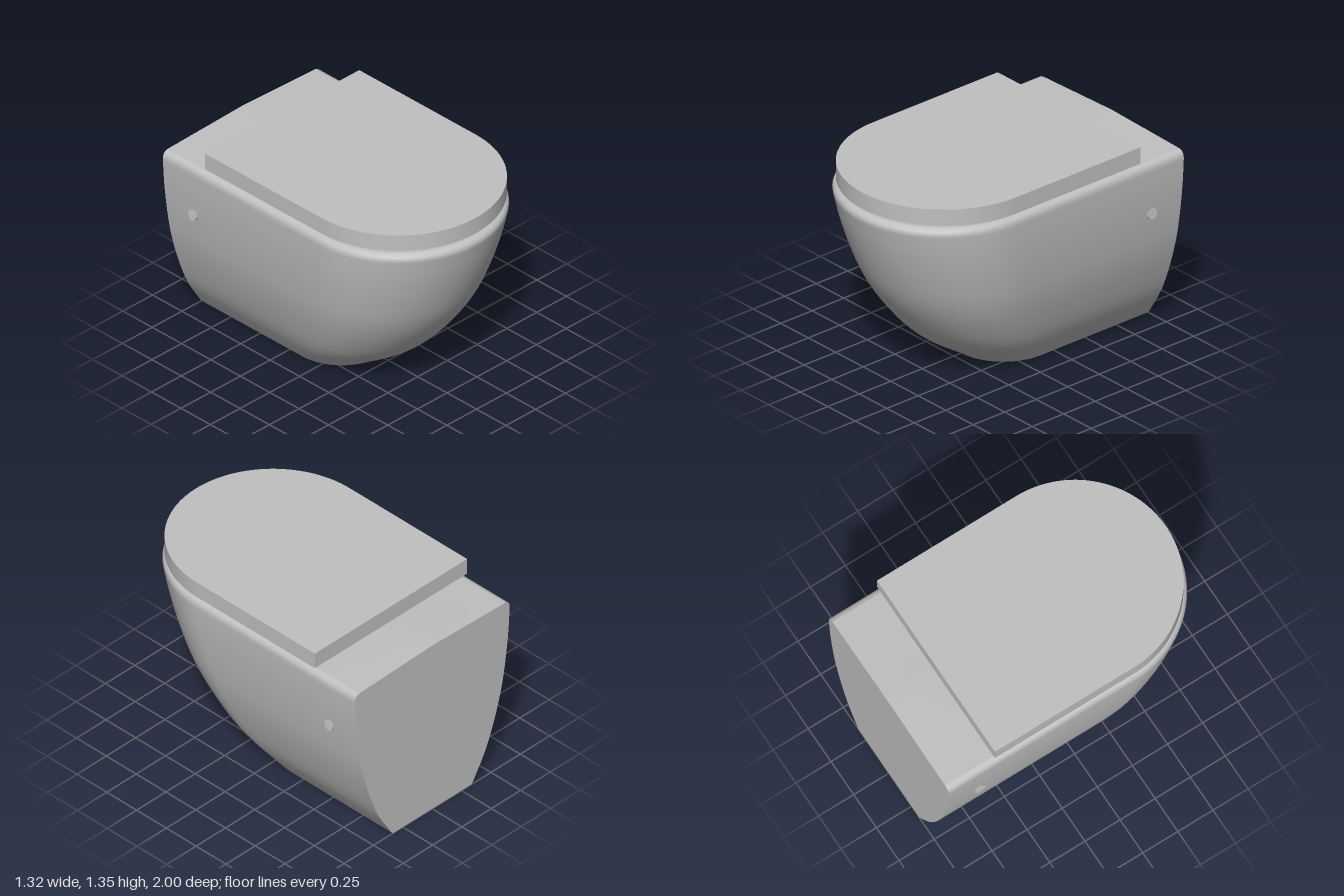
import * as THREE from 'three';
import { toCreasedNormals } from 'three/addons/utils/BufferGeometryUtils.js';

const ceramic = new THREE.MeshStandardMaterial({ color: 0xc0c0c0 });
ceramic.name = 'grey ceramic';

// Surface from a rule f(i, j) -> [x, y, z]; it faces along (i direction) x (j direction)
function grid(nu, nv, f) {
  const pos = [], idx = [];
  for (let j = 0; j <= nv; j++) for (let i = 0; i <= nu; i++) pos.push(...f(i, j));
  const at = (i, j) => j * (nu + 1) + i;
  for (let j = 0; j < nv; j++) for (let i = 0; i < nu; i++) {
    idx.push(at(i, j), at(i + 1, j), at(i, j + 1));
    idx.push(at(i + 1, j), at(i + 1, j + 1), at(i, j + 1));
  }
  const g = new THREE.BufferGeometry();
  g.setAttribute('position', new THREE.Float32BufferAttribute(pos, 3));
  g.setIndex(idx);
  g.computeVertexNormals();
  return g;
}

// Half of a U-shaped outline: straight side from the back, then a quarter circle
const STRAIGHT = 12, ARC = 24, HALF = STRAIGHT + ARC;
const BACK = -1;
function halfOutline(k, w, z0) {
  if (k <= STRAIGHT) return [w, BACK + (z0 - BACK) * k / STRAIGHT];
  const a = (k - STRAIGHT) / ARC * Math.PI / 2;
  return [w * Math.cos(a), z0 + w * Math.sin(a)];
}

export function createModel() {
  const group = new THREE.Group();
  const add = (name, geometry) => {
    const mesh = new THREE.Mesh(geometry, ceramic);
    mesh.name = name;
    group.add(mesh);
    return mesh;
  };

  // Levels of the bowl: half width, height, centre of the front arc
  const flank = new THREE.CatmullRomCurve3([
    [0.345, 0.012, -0.14], [0.457, 0.2, 0.022], [0.535, 0.4, 0.125], [0.592, 0.6, 0.2],
    [0.627, 0.8, 0.255], [0.65, 1.0, 0.302], [0.66, 1.16, 0.335],
  ].map(p => new THREE.Vector3(...p)));
  const levels = [
    [0.335, 0, -0.145],
    ...flank.getPoints(30).map(p => p.toArray()),
    [0.659, 1.18, 0.34], [0.652, 1.198, 0.34], [0.64, 1.209, 0.34], [0.62, 1.215, 0.34],
  ];
  const base = levels[0], rim = levels[levels.length - 1];

  // Curved outer shell
  add('bowlShell', grid(levels.length - 1, HALF * 2, (i, j) => {
    const [w, y, z0] = levels[i];
    const [x, z] = halfOutline(j <= HALF ? j : 2 * HALF - j, w, z0);
    return [j <= HALF ? x : -x, y, z];
  }));

  // Flat underside
  add('bowlBase', grid(2, HALF, (i, j) => {
    const [x, z] = halfOutline(j, base[0], base[2]);
    return [x * (i - 1), 0, z];
  }));

  // Top surface, rising to a shallow ridge towards the wall
  const RISE = 0.02;
  add('bowlTop', grid(16, HALF, (i, j) => {
    const [x, z] = halfOutline(j, rim[0], rim[2]);
    const t = 1 - i / 8;
    const slope = THREE.MathUtils.clamp((-0.35 - z) / 0.5, 0, 1);
    return [x * t, rim[1] + RISE * slope * (1 - Math.abs(t)), z];
  }));

  // Flat wall face
  const backLevels = [...levels, [0, rim[1] + RISE]];
  add('bowlBack', grid(backLevels.length - 1, 2, (i, j) =>
    [backLevels[i][0] * (j - 1), backLevels[i][1], BACK]));

  // Fixing caps on both flanks
  for (const side of [1, -1]) {
    const cap = add(side > 0 ? 'leftFixingCap' : 'rightFixingCap',
      new THREE.CylinderGeometry(0.035, 0.035, 0.03, 32));
    cap.position.set(side * 0.631, 0.862, -0.765);
    cap.rotation.z = -side * (Math.PI / 2 + 0.13) + side * 0.26;
  }

  // Seat lid: a flat slab with a round front
  const r = 0.649, lidArc = 0.33, lidBack = -0.66;
  const outline = new THREE.Shape();
  outline.moveTo(-r, -lidBack);
  outline.lineTo(-r, -lidArc);
  outline.absarc(0, -lidArc, r, Math.PI, Math.PI * 2, false);
  outline.lineTo(r, -lidBack);
  outline.closePath();
  const slab = new THREE.ExtrudeGeometry(outline, { depth: 0.11, bevelEnabled: false, curveSegments: 48 });
  slab.rotateX(-Math.PI / 2);
  const lid = add('seatLid', toCreasedNormals(slab, 0.5));
  lid.position.set(0.006, 1.24, 0);

  return group;
}
